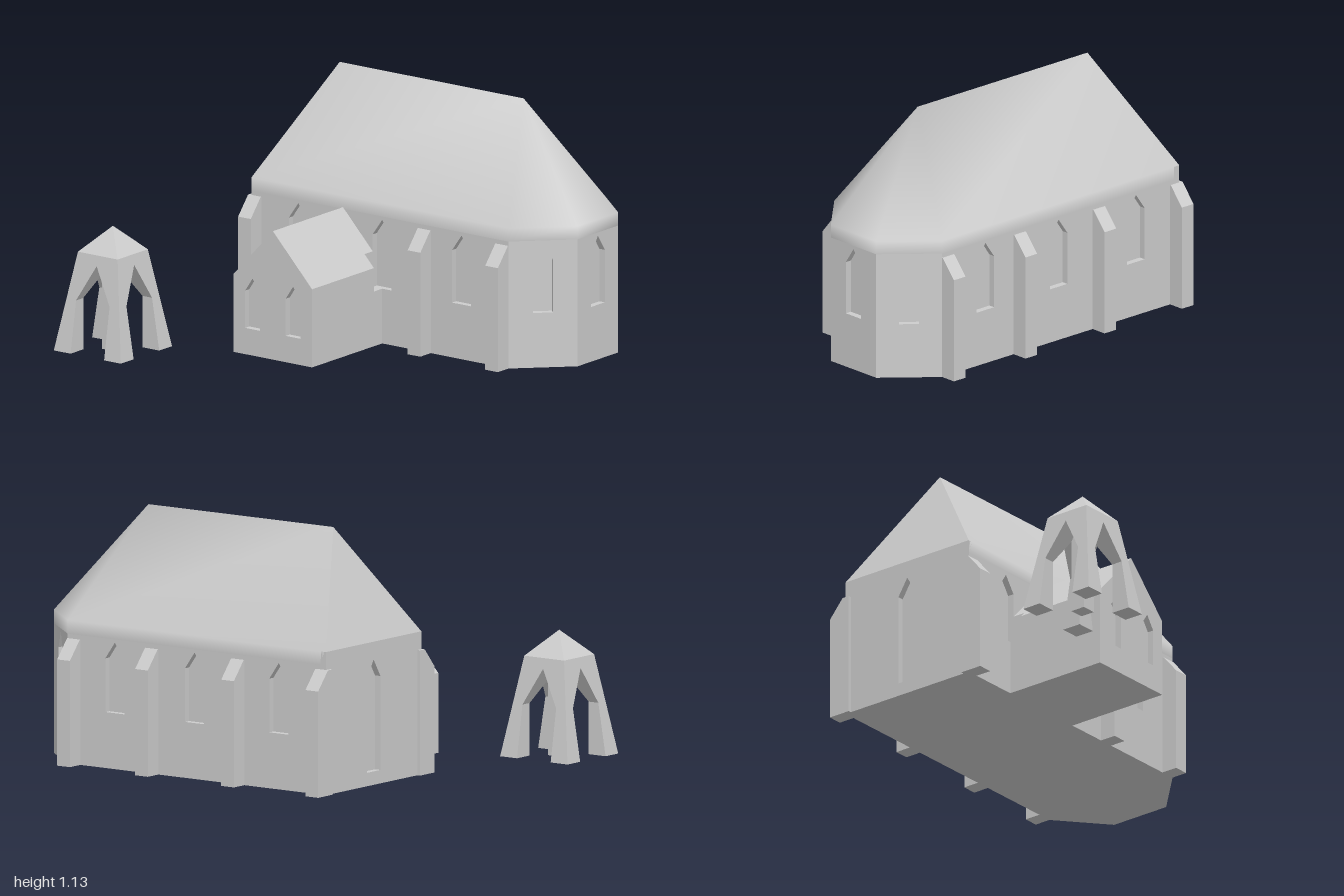
import * as THREE from 'three';

const RECESS = 0.03;

export function createModel() {
  const model = new THREE.Group();
  model.name = 'chapel';
  const stone = new THREE.MeshStandardMaterial({ color: 0xcccccc });
  stone.name = 'pale stone';

  const add = (parent, name, geometry) => {
    const mesh = new THREE.Mesh(geometry, stone);
    mesh.name = name;
    parent.add(mesh);
    return mesh;
  };
  const group = (name, parent = model) => {
    const g = new THREE.Group();
    g.name = name;
    parent.add(g);
    return g;
  };
  const outline = (pts) => new THREE.Shape(pts.map(([x, y]) => new THREE.Vector2(x, y)));
  const extrude = (shape, depth) => new THREE.ExtrudeGeometry(shape, { depth, bevelEnabled: false });

  // Pointed window outline
  const lancet = ({ x, w, y0, y1, y2 }) => [
    [x - w / 2, y0], [x + w / 2, y0], [x + w / 2, y1], [x, y2], [x - w / 2, y1],
  ];

  // Wall slab with recessed windows; its outer face lies at local z = 0
  const wallPanel = (parent, name, pts, windows) => {
    const g = group(name, parent);
    const shape = outline(pts);
    for (const w of windows) {
      shape.holes.push(new THREE.Path(lancet(w).map(([x, y]) => new THREE.Vector2(x, y))));
      add(g, 'windowPane', new THREE.ShapeGeometry(outline(lancet(w)))).position.z = -RECESS;
    }
    add(g, 'wall', extrude(shape, RECESS)).position.z = -RECESS;
    return g;
  };

  // Nave walls around the footprint, with a three-sided apse at +x
  const nave = group('nave');
  const plan = [[-0.645, -0.1], [0.78, -0.1], [1, -0.315], [1, -0.61], [0.78, -0.8], [-0.645, -0.8]];
  const wallTop = 0.58, eave = 0.64, ridge = 1.13, ridgeZ = -0.447;
  const high = (x, w = 0.105) => ({ x, w, y0: 0.25, y1: 0.49, y2: 0.565 });
  const bays = [-0.385, 0.08, 0.52];
  const names = ['frontWall', 'apseFrontWall', 'apseEndWall', 'apseBackWall', 'backWall', 'endWall'];
  plan.forEach(([ax, az], i) => {
    const [bx, bz] = plan[(i + 1) % 6];
    const len = Math.hypot(bx - ax, bz - az);
    const h = i === 5 ? eave : wallTop;
    let windows = [high(len / 2, i === 2 ? 0.1 : 0.088)];
    if (i === 0) windows = bays.map((x) => high(x - ax));
    if (i === 4) windows = bays.map((x) => high(ax - x));
    if (i === 5) windows = [{ x: len / 2, w: 0.1, y0: 0.06, y1: 0.48, y2: 0.56 }];
    const wall = wallPanel(nave, names[i], [[0, 0], [len, 0], [len, h], [0, h]], windows);
    wall.position.set(ax, 0, az);
    wall.rotation.y = Math.atan2(az - bz, bx - ax);
  });

  // Underside of the nave
  add(nave, 'floor', new THREE.ShapeGeometry(outline(plan))).rotation.x = Math.PI / 2;

  // Smooth roof that flows out of the wall tops and around the apse
  const points = [
    ...plan.map(([x, z]) => [x, wallTop, z]),
    ...plan.map(([x, z]) => [x, eave, z]),
    [-0.42, ridge, ridgeZ], [-0.42, ridge, ridgeZ], [0.6, ridge, ridgeZ],
  ];
  const faces = [6, 7, 14, 6, 14, 12, 7, 8, 14, 8, 9, 14, 9, 10, 14, 10, 11, 13, 10, 13, 14];
  for (let k = 0; k < 5; k++) faces.push(k, k + 1, k + 7, k, k + 7, k + 6);
  const roof = new THREE.BufferGeometry();
  roof.setAttribute('position', new THREE.Float32BufferAttribute(points.flat(), 3));
  roof.setIndex(faces);
  roof.computeVertexNormals();
  add(nave, 'roof', roof);

  // Flat hip over the end wall
  const hip = new THREE.BufferGeometry();
  hip.setAttribute('position', new THREE.Float32BufferAttribute([points[11], points[6], points[12]].flat(), 3));
  hip.computeVertexNormals();
  add(nave, 'roofHip', hip);

  // Buttresses with sloping caps along both long walls
  const buttressSide = outline([[-0.03, 0], [0.077, 0], [0.077, 0.475], [0.005, 0.56], [-0.03, 0.56]]);
  for (const x of [-0.625, -0.16, 0.315, 0.745]) {
    for (const side of [1, -1]) {
      const b = add(nave, 'buttress', extrude(buttressSide, 0.07));
      b.rotation.y = -side * Math.PI / 2;
      b.position.set(x + side * 0.035, 0, side > 0 ? -0.1 : -0.8);
    }
  }

  // Gabled porch, notched beside the nave windows
  const porch = group('porch');
  const x0 = -0.355, x1 = 0.08, mid = -0.1375, low = 0.357, top = 0.587;
  const gable = [[x0, 0], [x1, 0], [x1, low], [mid, top], [x0, low]];
  const slopeY = (x) => top - (top - low) * Math.abs(x - mid) / (x1 - mid);
  const n0 = -0.3325, n1 = 0.0275;
  const notched = [
    [x0, 0], [x1, 0], [x1, 0.25], [n1, 0.25], [n1, slopeY(n1)],
    [mid, top], [n0, slopeY(n0)], [n0, 0.25], [x0, 0.25],
  ];
  add(porch, 'porchBody', extrude(outline(gable), 0.42)).position.z = -0.04;
  add(porch, 'porchBack', extrude(outline(notched), 0.08)).position.z = -0.12;
  const porchWindow = (x) => ({ x, w: 0.083, y0: 0.12, y1: 0.29, y2: 0.352 });
  wallPanel(porch, 'porchFront', gable, [porchWindow(-0.25), porchWindow(-0.025)]).position.z = 0.41;

  // Free-standing canopy: four leaning legs that meet in pointed arches
  const canopy = group('canopy');
  canopy.position.set(-0.815, 0, 0.685);
  const shoulder = 0.447, base = 0.186, neck = 0.11;
  const levels = [[0, 0.093], [0.235, 0.093], [0.4, 0], [shoulder, 0]];
  const legPos = [], legIdx = [0, 1, 2, 0, 2, 3, 12, 14, 13, 12, 15, 14];
  levels.forEach(([y, a], i) => {
    const b = base - (base - neck) * y / shoulder;
    legPos.push(a, y, a, b, y, a, b, y, b, a, y, b);
    if (i === 0) return;
    for (let k = 0; k < 4; k++) {
      const p = (i - 1) * 4 + k, q = (i - 1) * 4 + (k + 1) % 4;
      legIdx.push(p, p + 4, q + 4, p, q + 4, q);
    }
  });
  const legIndexed = new THREE.BufferGeometry();
  legIndexed.setAttribute('position', new THREE.Float32BufferAttribute(legPos, 3));
  legIndexed.setIndex(legIdx);
  const leg = legIndexed.toNonIndexed();
  leg.computeVertexNormals();
  for (let k = 0; k < 4; k++) add(canopy, 'canopyLeg', leg).rotation.y = k * Math.PI / 2;

  // Pyramid cap and central post
  const cap = new THREE.ConeGeometry(neck * Math.SQRT2, 0.56 - shoulder, 4, 1, false, Math.PI / 4).toNonIndexed();
  cap.computeVertexNormals();
  add(canopy, 'canopyCap', cap).position.y = (0.56 + shoulder) / 2;
  add(canopy, 'canopyPost', new THREE.BoxGeometry(0.07, 0.42, 0.07)).position.y = 0.21;

  return model;
}
